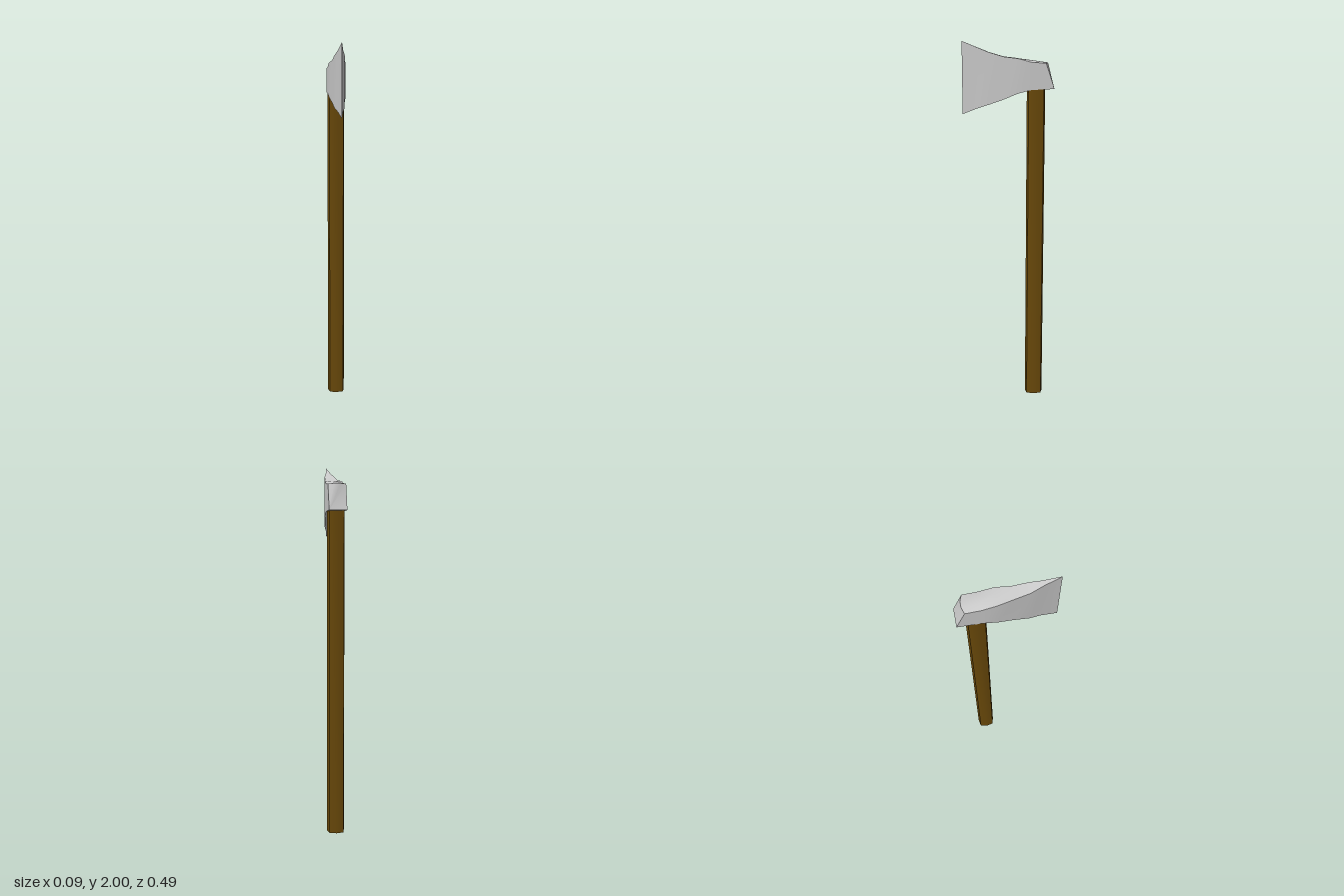
import * as THREE from 'three';
import { toCreasedNormals } from 'three/addons/utils/BufferGeometryUtils.js';

// Axe head sections from cutting edge to poll:
// [bottom z, top z, half width, bottom y, top y at the sides, top y in the middle]
const SECTIONS = [
  [0.242, 0.242, 0.0004, 1.62, 2.0, 2.0],
  [0.16, 0.16, 0.013, 1.652, 1.967, 1.967],
  [0.1, 0.1, 0.027, 1.672, 1.943, 1.943],
  [0.02, 0.02, 0.034, 1.7, 1.92, 1.92],
  [-0.05, -0.05, 0.046, 1.73, 1.912, 1.912],
  [-0.125, -0.125, 0.047, 1.75, 1.892, 1.902],
  [-0.245, -0.2, 0.047, 1.755, 1.888, 1.89],
];

function headGeometry() {
  const positions = [];
  const index = [];
  const n = 6;
  SECTIONS.forEach(([zb, zt, w, yb, yt, ym], i) => {
    // the poll's top edge bows slightly backwards in the middle
    const zm = i === SECTIONS.length - 1 ? zt - 0.011 : zt;
    positions.push(
      w, yb, zb, w, yt, zt, w / 3, ym, zm,
      -w / 3, ym, zm, -w, yt, zt, -w, yb, zb
    );
  });
  for (let i = 0; i < SECTIONS.length - 1; i++) {
    for (let j = 0; j < n; j++) {
      const a = i * n + j;
      const b = i * n + (j + 1) % n;
      index.push(a, a + n, b + n, a, b + n, b);
    }
  }
  // cap the cutting edge and the poll
  const last = (SECTIONS.length - 1) * n;
  for (let k = 1; k < n - 1; k++) {
    index.push(0, k, k + 1, last, last + k + 1, last + k);
  }
  const g = new THREE.BufferGeometry();
  g.setAttribute('position', new THREE.Float32BufferAttribute(positions, 3));
  g.setIndex(index);
  return toCreasedNormals(g, THREE.MathUtils.degToRad(30));
}

function handleGeometry(height) {
  // eight-sided section: a square with gently bowed sides
  const shape = new THREE.Shape();
  for (let i = 0; i < 8; i++) {
    const a = (i * Math.PI) / 4;
    const r = i % 2 ? 0.055 : 0.047;
    shape[i ? 'lineTo' : 'moveTo'](r * Math.cos(a), r * Math.sin(a) * 1.04);
  }
  shape.closePath();
  const g = new THREE.ExtrudeGeometry(shape, { depth: height, bevelEnabled: false });
  g.rotateX(-Math.PI / 2);
  return toCreasedNormals(g, THREE.MathUtils.degToRad(30));
}

export function createModel() {
  const group = new THREE.Group();
  group.name = 'axe';

  // wooden shaft, running up into the head
  const handle = new THREE.Mesh(
    handleGeometry(1.8),
    new THREE.MeshStandardMaterial({ color: 0x6b4a0a })
  );
  handle.name = 'handle';
  handle.position.z = -0.15;

  const head = new THREE.Mesh(
    headGeometry(),
    new THREE.MeshStandardMaterial({ color: 0xcccccc })
  );
  head.name = 'axeHead';

  group.add(handle, head);
  return group;
}
